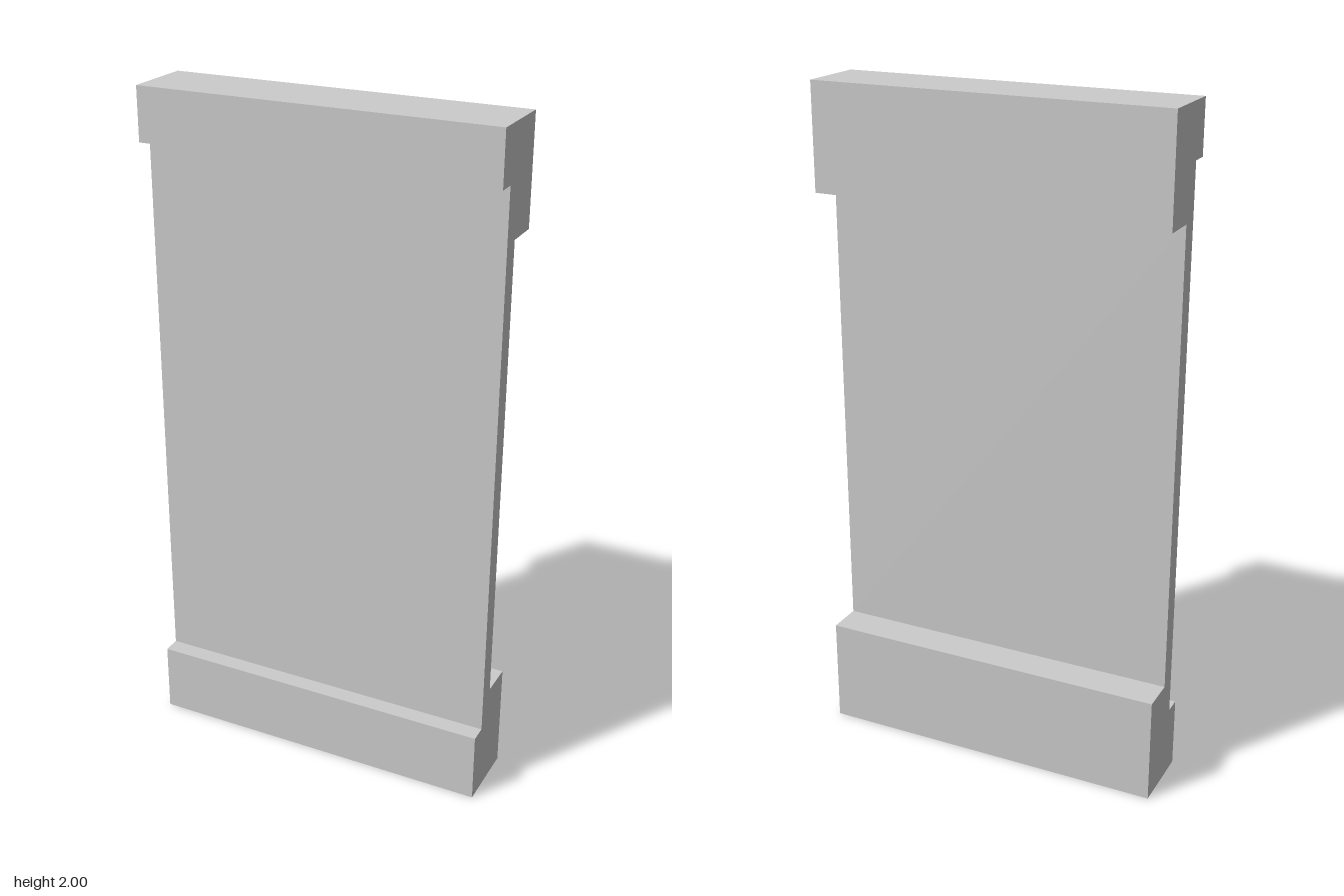
import * as THREE from 'three';

const WIDTH = 1.052;

export function createModel() {
  const group = new THREE.Group();
  group.name = 'wallSection';
  const material = new THREE.MeshStandardMaterial({ color: 0xcccccc, flatShading: true });

  // Side profile as [z, y]: plinth, thin panel and cornice in one outline
  const profile = [
    [0.105, 0], [-0.105, 0], [-0.105, 0.32], [0, 0.32],
    [0, 1.69], [-0.105, 1.69], [-0.105, 2], [0.105, 2],
    [0.105, 1.845], [0.053, 1.845], [0.053, 0.212], [0.105, 0.212],
  ];
  const shape = new THREE.Shape(profile.map(([z, y]) => new THREE.Vector2(-z, y)));

  // Sweep the profile across the full width
  const geometry = new THREE.ExtrudeGeometry(shape, { depth: WIDTH, bevelEnabled: false });
  geometry.translate(0, 0, -WIDTH / 2);
  geometry.rotateY(Math.PI / 2);

  const wall = new THREE.Mesh(geometry, material);
  wall.name = 'wallPanelWithPlinthAndCornice';
  group.add(wall);
  return group;
}
